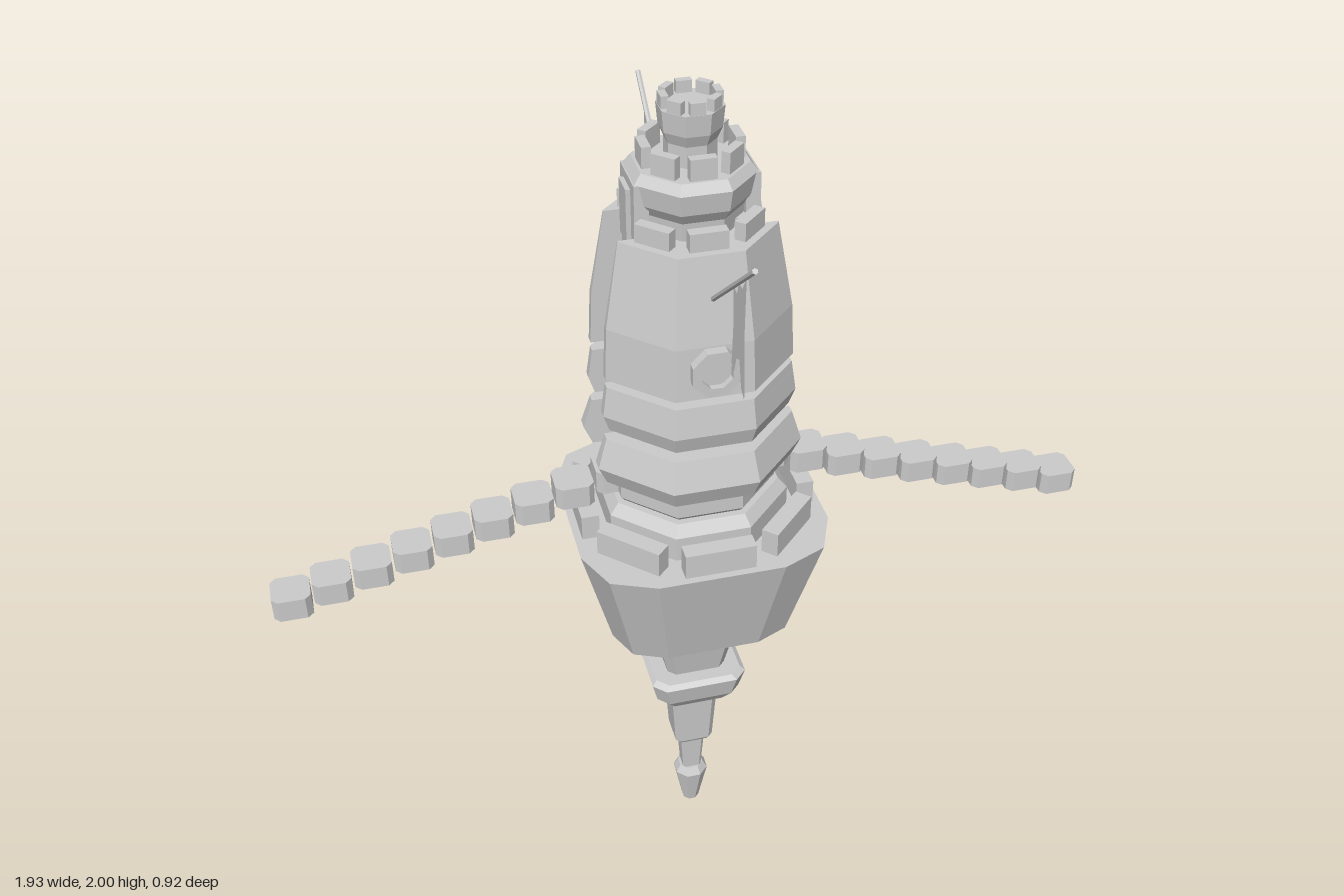
import * as THREE from 'three';

const mat = new THREE.MeshStandardMaterial({ color: 0xcccccc, flatShading: true, side: THREE.DoubleSide });

function add(parent, geo, name, x = 0, y = 0, z = 0) {
  const m = new THREE.Mesh(geo, mat);
  m.name = name;
  m.position.set(x, y, z);
  parent.add(m);
  return m;
}

// Loft: levels are [y, size]; outline(size) gives [x, z] corners, counter-clockwise from above
function loft(outline, levels) {
  const pos = [];
  const rings = levels.map(([y, s]) => outline(s).map(([x, z]) => [x, y, z]));
  const tri = (a, b, c) => pos.push(...a, ...b, ...c);
  const n = rings[0].length, top = rings[rings.length - 1], base = rings[0];
  for (let k = 0; k < rings.length - 1; k++) {
    const a = rings[k], b = rings[k + 1];
    for (let i = 0; i < n; i++) {
      const j = (i + 1) % n;
      tri(a[i], a[j], b[j]);
      tri(a[i], b[j], b[i]);
    }
  }
  for (let i = 1; i < n - 1; i++) {
    tri(top[0], top[i], top[i + 1]);
    tri(base[0], base[i + 1], base[i]);
  }
  const g = new THREE.BufferGeometry();
  g.setAttribute('position', new THREE.Float32BufferAttribute(pos, 3));
  g.computeVertexNormals();
  return g;
}

// One quarter of an outline, turned four times
const quarters = (pts) => [0, 1, 2, 3].flatMap((q) => pts.map(([x, z]) => {
  for (let i = 0; i < q; i++) [x, z] = [z, -x];
  return [x, z];
}));
const T = Math.tan(Math.PI / 8);
const GAP = 0.065;
const octagon = (r) => quarters([[r, r * T], [r, -r * T]]);
const squarish = (r) => quarters([[r, r * 0.75], [r, -r * 0.75]]);
const hullShape = (r) => quarters([[r, r * 0.5], [r, -r * 0.5], [r * 0.85, -r * 0.85]]);
const halfOctagon = (r) => {
  const t = Math.max(r * T, GAP + 0.002);
  return [[-r, GAP], [-r, t], [-t, r], [t, r], [r, t], [r, GAP]];
};

// Ring of battlement blocks
function battlements(parent, name, radius, y, w, h, d, skipSides = false) {
  const ring = new THREE.Group();
  ring.name = name;
  for (let i = 0; i < 8; i++) {
    if (skipSides && i % 4 === 2) continue;
    const a = i * Math.PI / 4;
    add(ring, new THREE.BoxGeometry(w, h, d), 'merlon', Math.sin(a) * radius, y + h / 2, Math.cos(a) * radius).rotation.y = a;
  }
  parent.add(ring);
}

// Front half of the split tower, with window and banner
function towerHalf() {
  const half = new THREE.Group();
  half.name = 'towerHalf';
  add(half, loft(halfOctagon, [[1.155, 0.21], [1.2, 0.229], [1.27, 0.208]]), 'lowerSlab');
  add(half, loft(halfOctagon, [[1.29, 0.2], [1.33, 0.213], [1.4, 0.203]]), 'middleSlab');
  add(half, loft(halfOctagon, [[1.42, 0.205], [1.54, 0.199], [1.73, 0.167]]), 'upperWall');

  // Round window: octagonal frame and recessed pane
  const frame = new THREE.Shape(), hole = new THREE.Path();
  for (let i = 0; i < 8; i++) {
    const a = (i + 0.5) * Math.PI / 4, c = Math.cos(a), s = Math.sin(a);
    frame[i ? 'lineTo' : 'moveTo'](c * 0.056, s * 0.056);
    hole[i ? 'lineTo' : 'moveTo'](c * 0.035, s * 0.035);
  }
  frame.holes.push(hole);
  add(half, new THREE.ExtrudeGeometry(frame, { depth: 0.03, bevelEnabled: false }), 'windowFrame', 0, 1.485, 0.192);
  const pane = add(half, new THREE.CylinderGeometry(0.036, 0.036, 0.02, 8), 'windowPane', 0, 1.485, 0.198);
  pane.rotation.x = Math.PI / 2;

  // Slanted pole
  const a = new THREE.Vector3(0, 1.635, 0.175), b = new THREE.Vector3(0, 1.853, 0.455);
  const pole = add(half, new THREE.CylinderGeometry(0.006, 0.006, a.distanceTo(b), 6), 'flagPole');
  pole.position.copy(a).lerp(b, 0.5);
  pole.quaternion.setFromUnitVectors(new THREE.Vector3(0, 1, 0), b.clone().sub(a).normalize());

  // Tattered banner
  const cloth = new THREE.Shape([
    [0.405, 1.813], [0.40, 1.7], [0.408, 1.545], [0.385, 1.56], [0.37, 1.615], [0.35, 1.605],
    [0.335, 1.565], [0.317, 1.575], [0.325, 1.66], [0.32, 1.748], [0.345, 1.745], [0.355, 1.772], [0.38, 1.775],
  ].map(([x, y]) => new THREE.Vector2(x, y)));
  add(half, new THREE.ShapeGeometry(cloth), 'banner').rotation.y = -Math.PI / 2;
  return half;
}

export function createModel() {
  const root = new THREE.Group();
  root.name = 'floatingTower';

  // Hanging spire
  add(root, loft(octagon, [[0, 0.02], [0.11, 0.041], [0.13, 0.03]]), 'spireTip');
  add(root, loft(squarish, [[0.12, 0.023], [0.25, 0.031]]), 'spireNeck');
  add(root, loft(squarish, [[0.245, 0.042], [0.255, 0.048], [0.42, 0.058]]), 'spireShaft');
  add(root, loft(squarish, [[0.42, 0.08], [0.455, 0.104], [0.51, 0.117], [0.52, 0.105]]), 'spireCollar');
  add(root, loft(squarish, [[0.51, 0.07], [0.61, 0.09]]), 'spireUpperShaft');
  add(root, loft(squarish, [[0.61, 0.09], [0.63, 0.122], [0.73, 0.136]]), 'spireBase');

  // Hull and deck
  add(root, loft(hullShape, [[0.72, 0.215], [1.0, 0.287]]), 'hull');
  battlements(root, 'deckBattlements', 0.25, 1.0, 0.16, 0.06, 0.04);
  add(root, loft(octagon, [[1.0, 0.205], [1.06, 0.205], [1.085, 0.185]]), 'deckStep');
  add(root, loft(octagon, [[1.08, 0.165], [1.095, 0.177], [1.13, 0.177], [1.14, 0.165]]), 'deckPlinth');

  // Split tower, front and back
  const front = towerHalf();
  const back = towerHalf();
  back.rotation.y = Math.PI;
  root.add(front, back);

  // Bridge over the gap, with stepped corbels beneath
  const bridge = new THREE.Group();
  bridge.name = 'bridge';
  add(bridge, new THREE.BoxGeometry(0.25, 0.15, 0.14), 'bridgeBlock', 0, 1.675);
  for (const s of [1, -1]) {
    for (let i = 0; i < 4; i++) {
      const w = 0.015 * (i + 1);
      add(bridge, new THREE.BoxGeometry(0.25, 0.021, w), 'corbel', 0, 1.53 + i * 0.02, s * (0.067 - w / 2));
    }
    add(bridge, new THREE.BoxGeometry(0.03, 0.2, 0.12), 'sideBay', s * 0.115, 1.74);
    add(bridge, new THREE.BoxGeometry(0.014, 0.12, 0.06), 'sideWindow', s * 0.133, 1.76);
    add(bridge, new THREE.BoxGeometry(0.03, 0.03, 0.09), 'sideSill', s * 0.13, 1.635);
  }
  root.add(bridge);

  // Keep and turret
  battlements(root, 'wallBattlements', 0.138, 1.725, 0.08, 0.045, 0.025, true);
  add(root, loft(octagon, [[1.72, 0.1], [1.77, 0.104], [1.795, 0.12], [1.84, 0.127], [1.86, 0.112]]), 'keep');
  battlements(root, 'keepBattlements', 0.096, 1.85, 0.055, 0.055, 0.02);
  add(root, loft(octagon, [[1.84, 0.05], [1.905, 0.05], [1.93, 0.06], [1.975, 0.064]]), 'turret');
  battlements(root, 'turretBattlements', 0.055, 1.97, 0.032, 0.03, 0.016);

  // Drooping arms of separate chamfered blocks
  const link = loft(() => quarters([[0.0435, 0.03], [0.0435, -0.03], [0.03, -0.0435]]), [[-0.027, 1], [0.027, 1]]);
  for (const s of [1, -1]) {
    const arm = new THREE.Group();
    arm.name = s > 0 ? 'leftArm' : 'rightArm';
    for (let i = 0; i < 9; i++) add(arm, link, 'armBlock', s * (0.92 - i * 0.0925), 0.902 + i * 0.0268, 0);
    root.add(arm);
  }
  return root;
}
